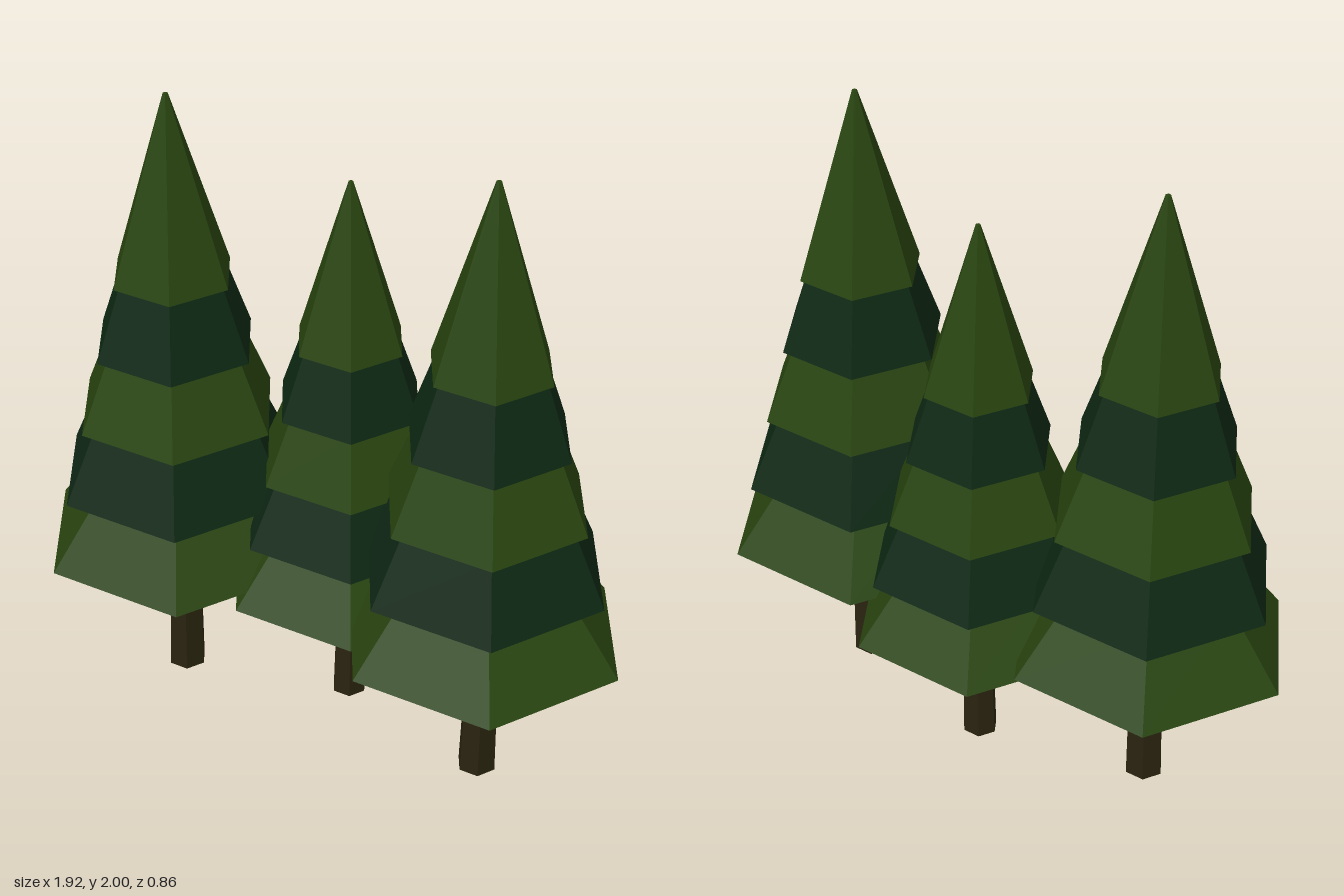
import * as THREE from 'three';

const lightNeedles = new THREE.MeshStandardMaterial({ color: 0x28440f });
const darkNeedles = new THREE.MeshStandardMaterial({ color: 0x0e2814 });
const bark = new THREE.MeshStandardMaterial({ color: 0x29230f });

// Foliage tiers: base height, top height, base radius, top radius
const TIERS = [
  [0.5, 0.735, 0.44, 0.27],
  [0.73, 0.965, 0.382, 0.277],
  [0.96, 1.195, 0.318, 0.222],
  [1.19, 1.425, 0.255, 0.172],
  [1.42, 2.0, 0.19, 0.008],
];

// Six-sided tapered prism with faceted normals and corners on the x axis
function hexFrustum(y0, y1, r0, r1, lean = 0) {
  const geo = new THREE.CylinderGeometry(r1, r0, y1 - y0, 6)
    .rotateY(Math.PI / 6)
    .translate(0, (y0 + y1) / 2, 0);
  const pos = geo.attributes.position;
  for (let i = 0; i < pos.count; i++) pos.setX(i, pos.getX(i) + lean * pos.getY(i));
  const flat = geo.toNonIndexed();
  flat.computeVertexNormals();
  return flat;
}

function createTree(name, x, z, scale) {
  const tree = new THREE.Group();
  tree.name = name;

  // Slightly leaning trunk
  const trunk = new THREE.Mesh(hexFrustum(0, 0.55, 0.061, 0.05, 0.018), bark);
  trunk.name = 'trunk';
  tree.add(trunk);

  // Alternating light and dark skirts
  TIERS.forEach(([y0, y1, r0, r1], i) => {
    const tier = new THREE.Mesh(hexFrustum(y0, y1, r0, r1), i % 2 ? darkNeedles : lightNeedles);
    tier.name = `foliageTier${i + 1}`;
    tree.add(tier);
  });

  tree.position.set(x, 0, z);
  tree.scale.setScalar(scale);
  return tree;
}

export function createModel() {
  const model = new THREE.Group();
  model.name = 'pineTrees';
  model.add(
    createTree('leftTree', 0.52, 0.045, 1),
    createTree('rightTree', -0.52, 0.045, 1),
    createTree('middleTree', 0, -0.087, 0.9),
  );
  return model;
}
